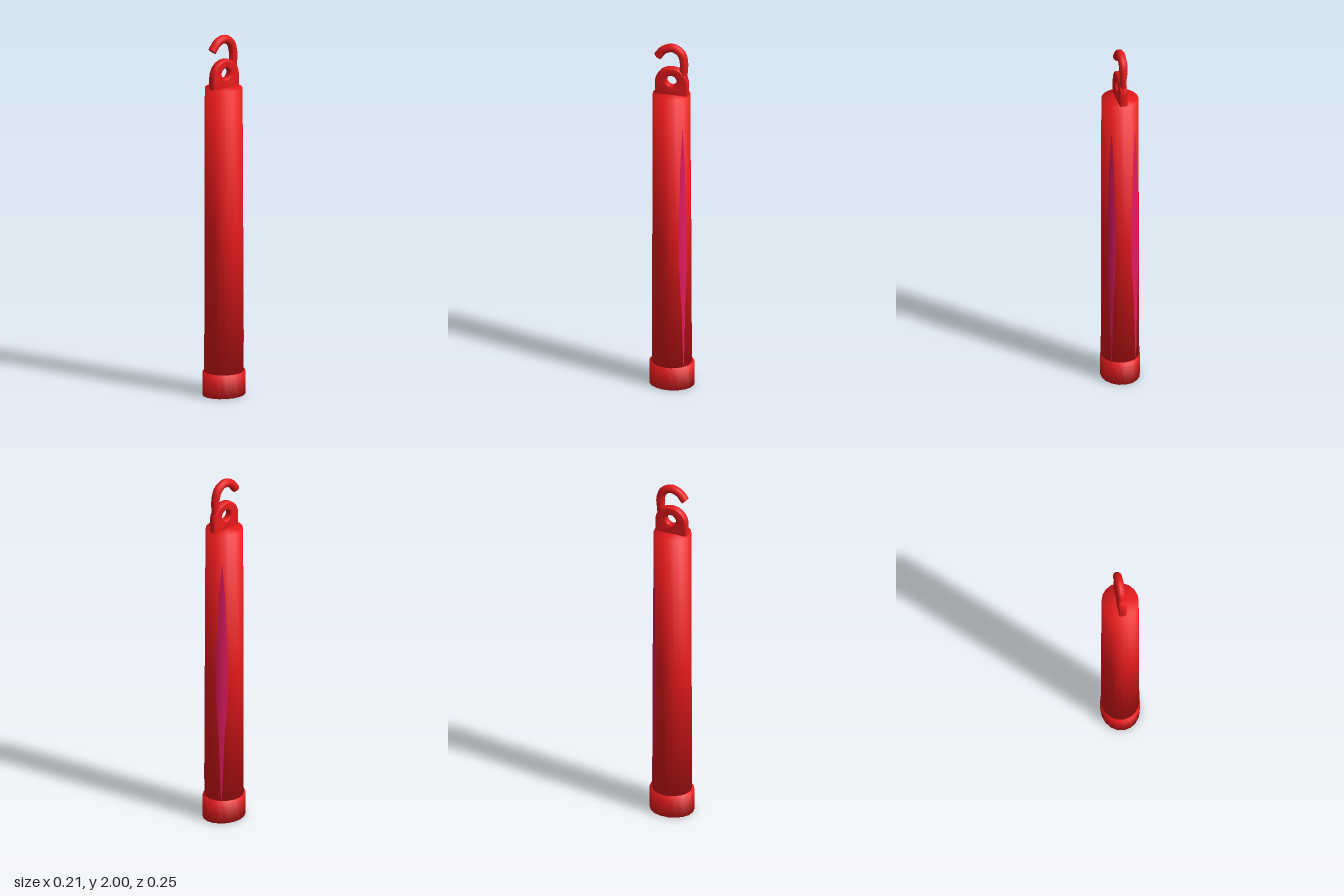
import * as THREE from 'three';
import { toCreasedNormals } from 'three/addons/utils/BufferGeometryUtils.js';

const red = new THREE.MeshStandardMaterial({ color: 0xe81a1c });
red.name = 'red plastic';
const pink = new THREE.MeshStandardMaterial({ color: 0xe21a60, side: THREE.DoubleSide });
pink.name = 'pink glow';

const SIDES = 18, BODY_TOP = 1.71, CAP_TOP = 0.13;
const rx = y => 0.104 - 0.004 * y / BODY_TOP;
const rz = y => 0.109 - 0.007 * y / BODY_TOP;
const bodyZ = y => 0.003 * y / BODY_TOP;

function add(parent, name, geometry, material) {
  const mesh = new THREE.Mesh(geometry, material);
  mesh.name = name;
  parent.add(mesh);
  return mesh;
}

// Closed unit-radius drum whose shading rolls softly over both rims
function softDrum(...heights) {
  const last = heights[heights.length - 1];
  const profile = [[0, heights[0]], ...heights.map(y => [1, y]), [0, last]];
  return new THREE.LatheGeometry(profile.map(([r, y]) => new THREE.Vector2(r, y)), SIDES);
}

// Slightly oval, tapered tube
function bodyGeometry() {
  const g = softDrum(0.05, 0.88, BODY_TOP);
  const p = g.attributes.position;
  for (let i = 0; i < p.count; i++) {
    const y = p.getY(i);
    p.setXYZ(i, p.getX(i) * rx(y), y, p.getZ(i) * rz(y) + bodyZ(y));
  }
  return g;
}

// Thin tapering streak wrapped on the tube; widths are half angles in degrees
function streakGeometry(angle, widest) {
  const rows = [[0.14, 0.08], [0.3, 0.25], [0.5, 0.45], [0.7, 0.85], [0.95, 1], [1.15, 0.72], [1.35, 0.5], [1.53, 0.06]];
  const cols = 7, pos = [], nor = [], idx = [];
  rows.forEach(([y, w], r) => {
    for (let c = 0; c < cols; c++) {
      const a = angle + THREE.MathUtils.degToRad(w * widest) * (c / (cols - 1) * 2 - 1);
      pos.push(Math.sin(a) * (rx(y) + 0.001), y, Math.cos(a) * (rz(y) + 0.001) + bodyZ(y));
      nor.push(Math.sin(a), 0, Math.cos(a));
      if (r && c) {
        const k = r * cols + c;
        idx.push(k - cols - 1, k - cols, k, k - cols - 1, k, k - 1);
      }
    }
  });
  const g = new THREE.BufferGeometry();
  g.setAttribute('position', new THREE.Float32BufferAttribute(pos, 3));
  g.setAttribute('normal', new THREE.Float32BufferAttribute(nor, 3));
  g.setIndex(idx);
  return g;
}

// Round-topped tab with a softened eyelet
function tabGeometry() {
  const bevel = 0.01, w = 0.092 - bevel, cy = 1.775;
  const s = new THREE.Shape();
  s.moveTo(-w, 1.70);
  s.lineTo(w, 1.70);
  s.lineTo(w, cy);
  s.absarc(0, cy, w, 0, Math.PI, false);
  s.closePath();
  const hole = new THREE.Path();
  hole.absarc(0, 1.79, 0.039, 0, Math.PI * 2, true);
  s.holes.push(hole);
  const depth = 0.042 - bevel * 2;
  const g = new THREE.ExtrudeGeometry(s, {
    depth, bevelEnabled: true, bevelSize: bevel, bevelThickness: bevel, bevelSegments: 3, curveSegments: 14,
  });
  g.translate(0, 0, -depth / 2);
  g.rotateY(-Math.PI / 2);
  return toCreasedNormals(g, 1);
}

export function createModel() {
  const model = new THREE.Group();
  model.name = 'glowStick';

  add(model, 'body', bodyGeometry(), red);

  // Oval foot cap
  const cap = softDrum(0, CAP_TOP).scale(0.106, 1, 0.123);
  add(model, 'baseCap', cap, red);

  // Pair of glow streaks on the back, the right one broader
  const back = THREE.MathUtils.degToRad(40);
  add(model, 'leftGlowStreak', streakGeometry(Math.PI - back, 15), pink);
  add(model, 'rightGlowStreak', streakGeometry(Math.PI + back, 19), pink);

  add(model, 'hangingTab', tabGeometry(), red);

  // Open hook rising from the back of the tab
  const points = [
    [-0.06, 1.80], [-0.065, 1.85], [-0.066, 1.90], [-0.05, 1.95], [-0.005, 1.977],
    [0.045, 1.962], [0.08, 1.922],
  ].map(([z, y]) => new THREE.Vector3(0, y, z));
  const curve = new THREE.CatmullRomCurve3(points);
  const hook = new THREE.Group();
  hook.name = 'hook';
  model.add(hook);

  // The rod narrows where it blends into the tab
  const rod = new THREE.TubeGeometry(curve, 32, 0.0235, 12);
  const p = rod.attributes.position;
  for (let i = 0; i < p.count; i++) {
    const t = THREE.MathUtils.smoothstep(p.getY(i), 1.85, 1.92);
    p.setX(i, p.getX(i) * (0.8 + 0.2 * t) - 0.004 * t);
  }
  add(hook, 'hookRod', rod, red);
  const tip = add(hook, 'hookTip', new THREE.CircleGeometry(0.0235, 12), red);
  tip.position.copy(curve.getPoint(1)).setX(-0.004);
  tip.quaternion.setFromUnitVectors(new THREE.Vector3(0, 0, 1), curve.getTangent(1));

  return model;
}
